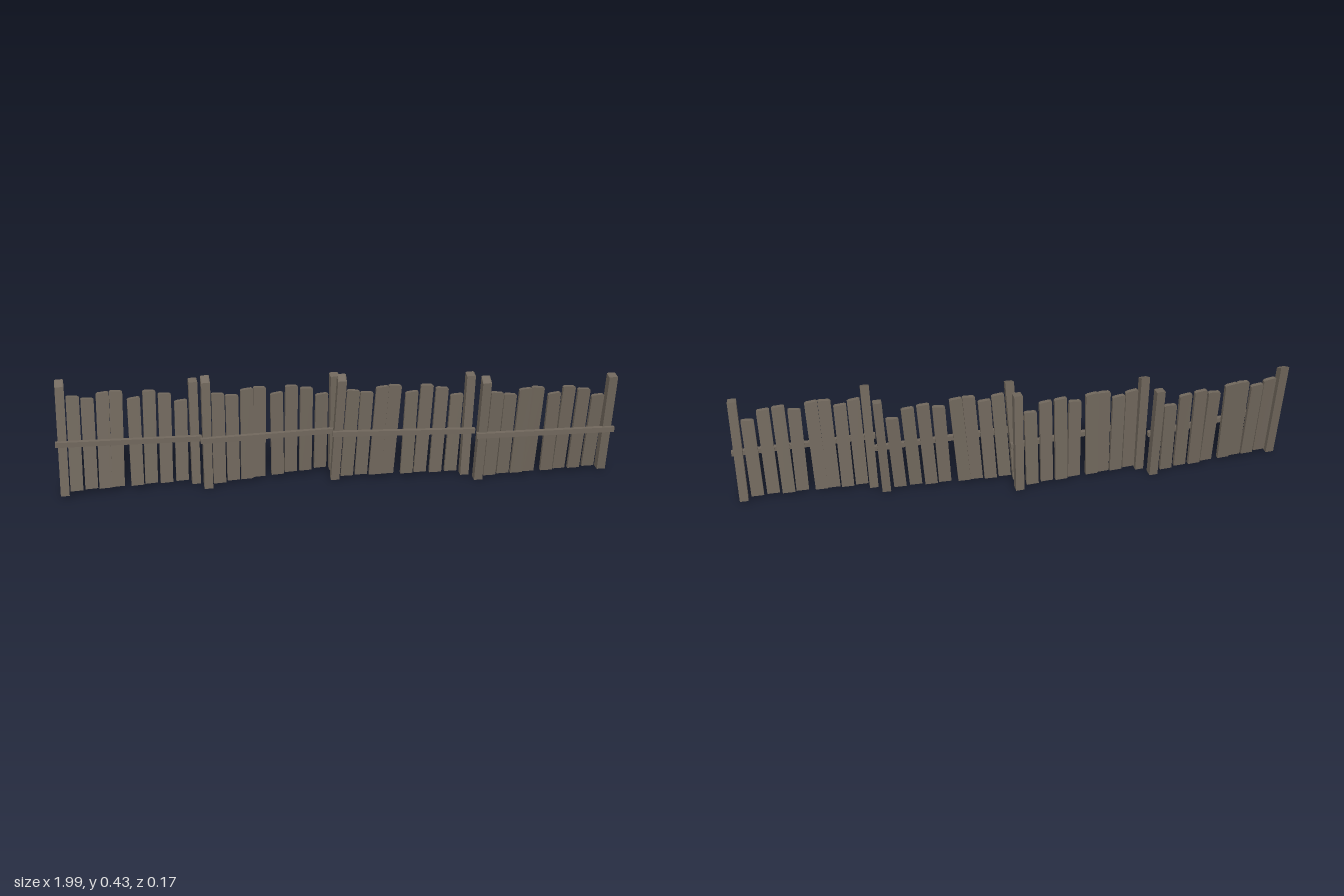
import * as THREE from 'three';

const wood = new THREE.MeshStandardMaterial({ color: 0x70675c });
wood.name = 'weathered wood';

const V = (a) => new THREE.Vector3(...a);

// Each section: bottom and top centre of its left-hand and right-hand post, and rail end heights
const sections = [
  { a: [[-0.982, 0.012, 0.045], [-0.97, 0.42, -0.01]], b: [[-0.52, 0.002, -0.025], [-0.514, 0.393, -0.06]], rail: [0.208, 0.182] },
  { a: [[-0.475, 0.002, 0.015], [-0.468, 0.418, -0.008]], b: [[-0.018, 0.014, -0.068], [-0.014, 0.405, -0.04]], rail: [0.195, 0.186] },
  { a: [[-0.017, 0.01, 0.002], [0.008, 0.42, 0.024]], b: [[0.46, 0.006, -0.005], [0.47, 0.4, -0.016]], rail: [0.206, 0.187] },
  { a: [[0.505, 0.002, 0.03], [0.51, 0.415, 0.07]], b: [[0.97, 0.01, -0.001], [0.965, 0.405, 0.047]], rail: [0.196, 0.188] },
];

// Planks: position across the section at the bottom and top, height, slope of the top edge, depth offset
const planks = [
  [0.09, 0.094, 0.36, -0.006, 0.003],
  [0.2, 0.2, 0.347, -0.004, -0.003],
  [0.307, 0.316, 0.367, 0.003, 0.002],
  [0.402, 0.416, 0.368, -0.005, -0.002],
  [0.55, 0.547, 0.341, 0.005, 0.003],
  [0.655, 0.665, 0.361, -0.003, -0.003],
  [0.773, 0.782, 0.35, -0.004, 0.003],
  [0.893, 0.903, 0.318, 0.003, -0.002],
];

// Leaning board from bottom to top; the top may slope in width and depth and have cut corners
function board(name, bottom, top, width, depth, yaw, { slopeX = 0, slopeZ = 0, cut = 0 } = {}) {
  const box = new THREE.BoxGeometry(1, 1, 1, 3, 1, 1);
  const pos = box.attributes.position;
  const across = new THREE.Vector3(Math.cos(yaw), 0, -Math.sin(yaw));
  const out = new THREE.Vector3(Math.sin(yaw), 0, Math.cos(yaw));
  const p = new THREE.Vector3();
  for (let i = 0; i < pos.count; i++) {
    const isEdge = Math.abs(pos.getX(i)) > 0.4;
    const x = isEdge ? pos.getX(i) : Math.sign(pos.getX(i)) * 0.36;
    const z = pos.getZ(i);
    const isTop = pos.getY(i) > 0;
    p.copy(isTop ? top : bottom).addScaledVector(across, x * width).addScaledVector(out, z * depth);
    if (isTop) p.y += slopeX * x - slopeZ * z - (isEdge ? cut : 0);
    pos.setXYZ(i, p.x, p.y, p.z);
  }
  const geometry = box.toNonIndexed();
  geometry.computeVertexNormals();
  const mesh = new THREE.Mesh(geometry, wood);
  mesh.name = name;
  return mesh;
}

// Point on a leaning post at height y
function atHeight([bottom, top], y) {
  return V(bottom).lerp(V(top), (y - bottom[1]) / (top[1] - bottom[1]));
}

function createSection({ a, b, rail }) {
  const section = new THREE.Group();
  section.name = 'fenceSection';
  const midA = atHeight(a, 0.2), midB = atHeight(b, 0.2);
  const yaw = Math.atan2(midA.z - midB.z, midB.x - midA.x);

  // Posts
  section.add(board('tallPost', V(a[0]), V(a[1]), 0.031, 0.031, yaw, { slopeZ: 0.016, cut: 0.002 }));
  section.add(board('shortPost', V(b[0]), V(b[1]), 0.031, 0.031, yaw, { slopeZ: 0.004, cut: 0.002 }));

  // Uneven planks between the posts
  planks.forEach(([low, high, height, slopeX, offset]) => {
    const base = THREE.MathUtils.lerp(a[0][1], b[0][1], low);
    const point = (t, y) => {
      const p = atHeight(a, y).lerp(atHeight(b, y), t);
      p.y = y;
      p.z += offset;
      return p;
    };
    section.add(board('plank', point(low, base + 0.013), point(high, base + height), 0.045, 0.014, yaw, { slopeX, cut: 0.004 }));
  });

  // Rail across the front, running past both posts
  const start = atHeight(a, rail[0]), end = atHeight(b, rail[1]);
  start.z += 0.02;
  end.z += 0.02;
  const along = end.clone().sub(start).normalize();
  start.addScaledVector(along, -0.022);
  end.addScaledVector(along, 0.026);
  const railMesh = new THREE.Mesh(new THREE.BoxGeometry(start.distanceTo(end), 0.019, 0.015), wood);
  railMesh.name = 'rail';
  railMesh.position.copy(start).lerp(end, 0.5);
  railMesh.quaternion.setFromUnitVectors(new THREE.Vector3(1, 0, 0), along);
  section.add(railMesh);
  return section;
}

export function createModel() {
  const fence = new THREE.Group();
  fence.name = 'woodenFence';
  sections.forEach((s) => fence.add(createSection(s)));
  return fence;
}
